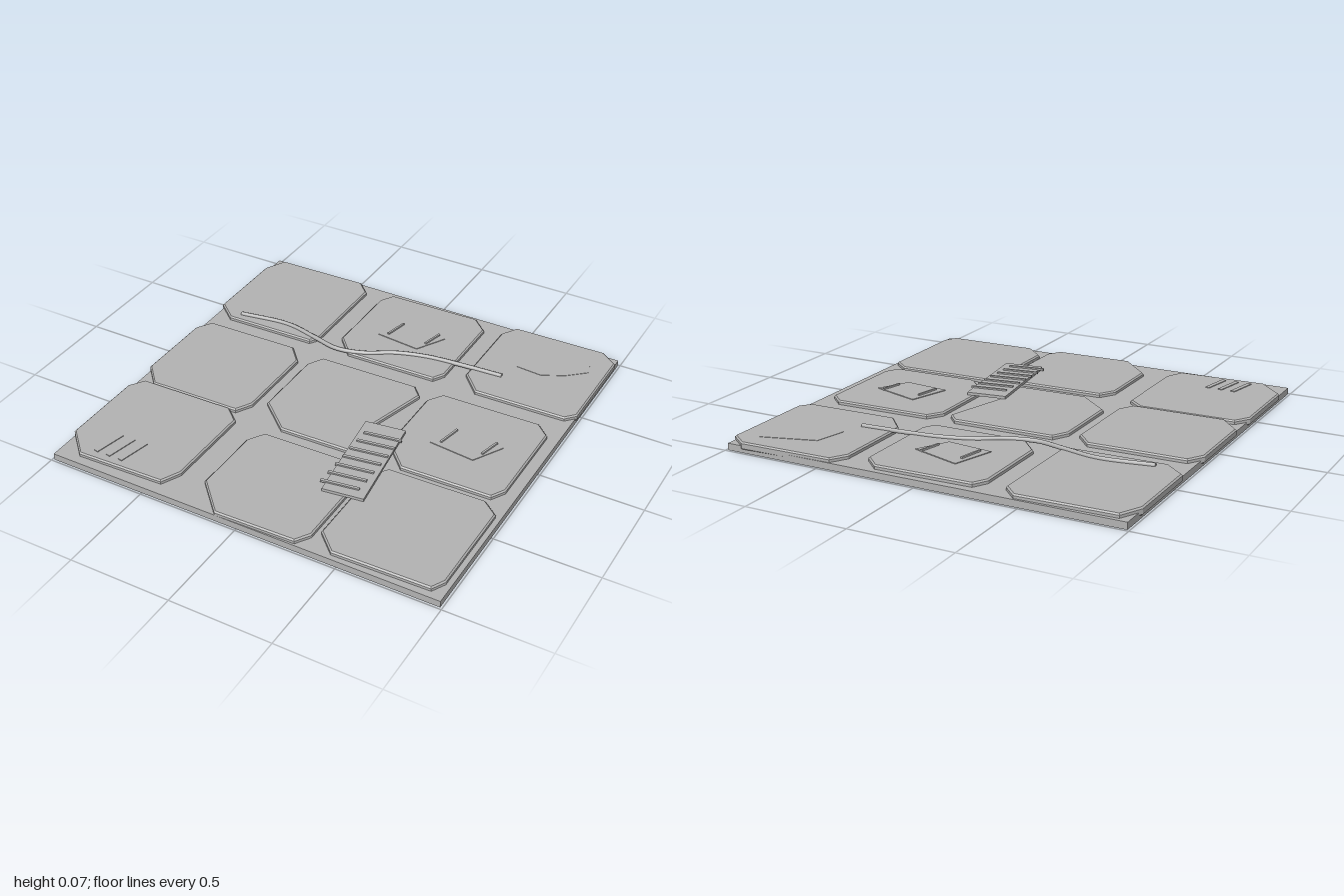
import * as THREE from 'three';

const FLOOR = 0.033, TOP = 0.053;

// Slab from a plan outline of [x, z] points, between two heights, with a small chamfer
function slab(outline, y0, y1, bevel = 0) {
  const shape = new THREE.Shape(outline.map(([x, z]) => new THREE.Vector2(x, -z)));
  const geo = new THREE.ExtrudeGeometry(shape, {
    depth: y1 - y0 - 2 * bevel, bevelEnabled: bevel > 0, bevelThickness: bevel,
    bevelSize: bevel, bevelOffset: -bevel, bevelSegments: 1,
  });
  geo.translate(0, 0, bevel);
  geo.rotateX(-Math.PI / 2);
  geo.translate(0, y0, 0);
  return geo;
}

// Outlines of the nine paving stones, from the back left to the front right
const stones = [
  [[-0.945, -0.97], [-0.47, -0.98], [-0.4, -0.91], [-0.4, -0.41], [-0.43, -0.365], [-0.9, -0.355], [-1, -0.44], [-1, -0.86]],
  [[-0.26, -0.95], [0.22, -0.96], [0.3, -0.885], [0.3, -0.435], [0.265, -0.375], [-0.205, -0.365], [-0.3, -0.47], [-0.3, -0.88]],
  [[0.44, -0.985], [0.91, -0.995], [0.995, -0.93], [0.995, -0.44], [0.95, -0.39], [0.49, -0.38], [0.39, -0.49], [0.39, -0.905]],
  [[-0.95, -0.265], [-0.47, -0.275], [-0.39, -0.185], [-0.39, 0.235], [-0.435, 0.315], [-0.9, 0.325], [-1, 0.215], [-1, -0.185]],
  [[-0.29, -0.265], [0.22, -0.275], [0.275, -0.215], [0.18, 0.13], [0.24, 0.25], [0.2, 0.325], [-0.17, 0.335], [-0.335, 0.19], [-0.335, -0.185]],
  [[0.37, -0.28], [0.865, -0.29], [0.935, -0.225], [0.935, 0.235], [0.895, 0.305], [0.45, 0.315], [0.32, 0.18], [0.32, -0.205]],
  [[-0.95, 0.325], [-0.47, 0.315], [-0.39, 0.385], [-0.39, 0.835], [-0.435, 0.93], [-0.875, 0.945], [-1, 0.82], [-1, 0.4]],
  [[-0.215, 0.4], [0.27, 0.39], [0.335, 0.46], [0.335, 0.91], [0.29, 0.98], [-0.11, 0.99], [-0.265, 0.83], [-0.265, 0.48]],
  [[0.41, 0.35], [0.885, 0.34], [0.965, 0.405], [0.965, 0.89], [0.93, 0.955], [0.46, 0.965], [0.36, 0.87], [0.36, 0.42]],
];

export function createModel() {
  const group = new THREE.Group();
  const grey = new THREE.MeshStandardMaterial({ color: 0xb4b4b4 });
  grey.name = 'grey';

  function add(name, geo, x = 0, y = 0, z = 0, turn = 0) {
    const mesh = new THREE.Mesh(geo, grey);
    mesh.name = name;
    mesh.position.set(x, y, z);
    mesh.rotation.y = turn;
    group.add(mesh);
    return mesh;
  }

  // Ground slab and paving stones
  add('base', new THREE.BoxGeometry(1.98, FLOOR, 1.98), 0, FLOOR / 2, 0);
  stones.forEach((outline, i) => add('stone' + (i + 1), slab(outline, 0.015, TOP, 0.007)));

  // Cable winding over the stones
  const path = new THREE.CatmullRomCurve3([
    [-0.86, -0.405], [-0.6, -0.438], [-0.42, -0.4], [-0.27, -0.367], [-0.13, -0.4],
    [0, -0.475], [0.15, -0.522], [0.3, -0.54], [0.55, -0.555],
  ].map(([x, z]) => new THREE.Vector3(x, 0.056, z)));
  add('cable', new THREE.TubeGeometry(path, 48, 0.011, 8));
  for (const t of [0, 1]) {
    const p = path.getPointAt(t);
    const cap = new THREE.CircleGeometry(0.011, 8);
    cap.rotateY(t ? Math.PI / 2 : -Math.PI / 2);
    add('cableEnd', cap, p.x, p.y, p.z);
  }

  // Ribbed walkway plate
  add('walkway', new THREE.BoxGeometry(0.2, 0.014, 0.535), 0.29, 0.06, 0.36, 0.13);
  for (let i = 0; i < 7; i++) {
    add('walkwayRib', new THREE.BoxGeometry(0.185, 0.01, 0.014), 0.285, 0.069, 0.178 + i * 0.0665, 0.15);
  }

  // Two thin panels, each with a pair of raised ridges
  const panel = [[-0.085, -0.79], [0.165, -0.71], [0.08, -0.56], [-0.15, -0.585]];
  for (const [dx, dz] of [[0, 0], [0.635, 0.675]]) {
    add('panel', slab(panel, TOP - 0.002, TOP + 0.004), dx, 0, dz);
    add('panelRidge', new THREE.BoxGeometry(0.01, 0.014, 0.123), dx - 0.092, 0.058, dz - 0.665, -0.21);
    add('panelRidge', new THREE.BoxGeometry(0.01, 0.014, 0.11), dx + 0.112, 0.058, dz - 0.672, -0.24);
  }

  // Flat patch on the back right stone
  add('patch', slab([[0.58, -0.667], [0.616, -0.82], [0.88, -0.9], [0.91, -0.79], [0.82, -0.71], [0.714, -0.656]],
    TOP - 0.002, TOP + 0.002));

  // Three vent strips on the front left stone
  for (let i = 0; i < 3; i++) {
    add('ventStrip', new THREE.BoxGeometry(0.022, 0.006, 0.16), -0.8 + i * 0.067, TOP + 0.001, 0.82, -0.2);
  }
  return group;
}
